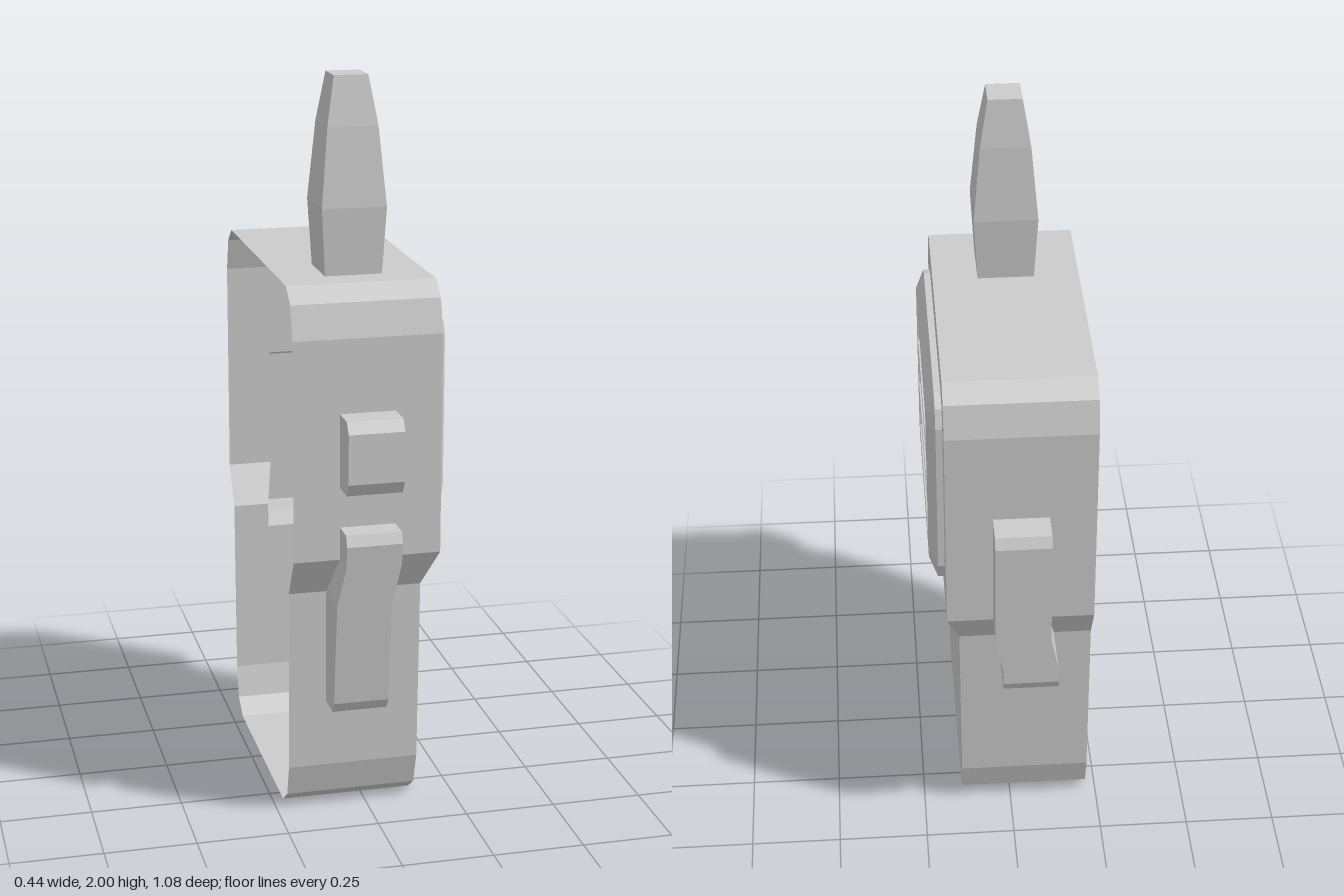
import * as THREE from 'three';

const material = new THREE.MeshStandardMaterial({ color: 0xcccccc, side: THREE.DoubleSide, flatShading: true });
const OPEN_X = -0.22; // open side of the half shell

// Half depth (z) and face position (x) of the shell by height: [y, z, x]
const OUTLINE = [
  [1.48, 0.37, 0.18], [1.44, 0.42, 0.18], [1.35, 0.445, 0.18], [0.75, 0.445, 0.18],
  [0.64, 0.38, 0.144], [0.13, 0.37, 0.141], [0.04, 0.345, 0.14], [0, 0.29, 0.14],
];
function lerpAt(y, column) {
  for (let i = 0; i < OUTLINE.length - 1; i++) {
    const a = OUTLINE[i], b = OUTLINE[i + 1];
    if (y <= a[0] && y >= b[0]) return a[column] + (b[column] - a[column]) * (y - a[0]) / (b[0] - a[0]);
  }
  return OUTLINE[0][column];
}
const wallZ = (y) => lerpAt(y, 1);
const faceX = (y) => lerpAt(y, 2);
// Side range of clips and buttons, shifting where the shell narrows
const partX = (y) => {
  const shift = 0.022 * THREE.MathUtils.clamp((0.75 - y) / 0.11, 0, 1);
  return [-0.095 - shift, 0.055 - shift];
};

// Collects flat quads into one mesh
function quadBuilder() {
  const positions = [];
  return {
    quad(a, b, c, d) { positions.push(...a, ...b, ...c, ...a, ...c, ...d); },
    loft(rings) {
      for (let i = 0; i < rings.length - 1; i++) {
        const r = rings[i], s = rings[i + 1], n = r.length;
        for (let j = 0; j < n; j++) this.quad(r[j], r[(j + 1) % n], s[(j + 1) % n], s[j]);
      }
    },
    mesh(name) {
      const g = new THREE.BufferGeometry();
      g.setAttribute('position', new THREE.Float32BufferAttribute(positions, 3));
      g.computeVertexNormals();
      const m = new THREE.Mesh(g, material);
      m.name = name;
      return m;
    },
  };
}

// Flat sheet facing +x from [z, y] outlines
function sheet(name, outline, holes, x) {
  const toPoints = (pts) => pts.map(([z, y]) => new THREE.Vector2(-z, y));
  const shape = new THREE.Shape(toPoints(outline));
  holes.forEach((h) => shape.holes.push(new THREE.Path(toPoints(h))));
  const g = new THREE.ShapeGeometry(shape);
  g.rotateY(Math.PI / 2);
  g.translate(x, 0, 0);
  const m = new THREE.Mesh(g, material);
  m.name = name;
  return m;
}

// Rectangle with two-step rounded corners, as [z, y]
function softRect(halfZ, y0, y1, cut) {
  const corner = [[0, cut], [cut * 0.28, cut * 0.28], [cut, 0]];
  const place = (sz, top, list) => list.map(([a, b]) => [sz * (halfZ - a), top ? y1 - b : y0 + b]);
  const back = [...corner].reverse();
  return [...place(1, true, corner), ...place(-1, true, back),
    ...place(-1, false, corner), ...place(1, false, back)];
}
const rect = (z0, z1, y0, y1) => [[z0, y0], [z1, y0], [z1, y1], [z0, y1]];
const at = (pts, x) => pts.map(([z, y]) => [x, y, z]);

// Front or back wall with openings behind the raised parts
function wall(name, sign, extraRows, openings) {
  const b = quadBuilder();
  const rows = [...OUTLINE.map((p) => p[0]), ...extraRows].sort((p, q) => q - p);
  for (let i = 0; i < rows.length - 1; i++) {
    const y0 = rows[i], y1 = rows[i + 1], mid = (y0 + y1) / 2;
    const strip = (l0, r0, l1, r1) => b.quad(
      [l0, y0, sign * wallZ(y0)], [r0, y0, sign * wallZ(y0)],
      [r1, y1, sign * wallZ(y1)], [l1, y1, sign * wallZ(y1)]);
    if (openings.some(([lo, hi]) => mid > lo && mid < hi)) {
      const p = partX(y0), q = partX(y1);
      strip(OPEN_X, p[0], OPEN_X, q[0]);
      strip(p[1], faceX(y0), q[1], faceX(y1));
    } else strip(OPEN_X, faceX(y0), OPEN_X, faceX(y1));
  }
  return b.mesh(name);
}

// Hollow raised part on the front or back wall; rows are [y, outer z]
function raisedPart(name, sign, rows) {
  const b = quadBuilder();
  const section = ([y, z]) => {
    const [l, r] = partX(y), w = sign * wallZ(y), o = sign * z;
    return [[l, y, w], [l, y, o], [r, y, o], [r, y, w]];
  };
  const s = rows.map(section);
  for (let i = 0; i < s.length - 1; i++) {
    for (let j = 0; j < 3; j++) b.quad(s[i][j], s[i][j + 1], s[i + 1][j + 1], s[i + 1][j]);
  }
  b.quad(...s[0]);
  b.quad(...s[s.length - 1]);
  return b.mesh(name);
}

export function createModel() {
  const model = new THREE.Group();
  model.name = 'handheldRadio';

  // Shell walls
  model.add(wall('frontWall', 1, [1.15, 0.95, 0.84, 0.32], [[0.95, 1.15], [0.32, 0.84]]));
  model.add(wall('backWall', -1, [1.09, 0.57], [[0.57, 1.09]]));

  // Top with antenna opening, and bottom
  const ends = quadBuilder();
  const flat = (x0, x1, y, z0, z1) => ends.quad([x0, y, z0], [x0, y, z1], [x1, y, z1], [x1, y, z0]);
  flat(OPEN_X, 0.18, 1.48, -0.37, 0.127);
  flat(OPEN_X, -0.097, 1.48, 0.127, 0.283);
  flat(0.057, 0.18, 1.48, 0.127, 0.283);
  flat(OPEN_X, 0.18, 1.48, 0.283, 0.37);
  flat(OPEN_X, 0.14, 0, -0.29, 0.29);
  model.add(ends.mesh('topAndBottom'));

  // Side face: upper plate around the speaker, then the step and lower plate
  const panelOuter = softRect(0.367, 0.81, 1.40, 0.07);
  const upper = OUTLINE.slice(0, 4);
  const upperOutline = [...upper.map(([y, z]) => [z, y]), ...upper.map(([y, z]) => [-z, y]).reverse()];
  model.add(sheet('upperSide', upperOutline, [panelOuter], 0.18));
  const lower = quadBuilder();
  for (let i = 3; i < OUTLINE.length - 1; i++) {
    const [y0, z0, x0] = OUTLINE[i], [y1, z1, x1] = OUTLINE[i + 1];
    lower.quad([x0, y0, z0], [x1, y1, z1], [x1, y1, -z1], [x0, y0, -z0]);
  }
  model.add(lower.mesh('lowerSide'));

  // Speaker panel with three recessed slots
  const speaker = new THREE.Group();
  speaker.name = 'speaker';
  const panelInner = softRect(0.325, 0.858, 1.357, 0.045);
  const slots = [0.905, 1.053, 1.2].map((y) => rect(-0.26, 0.265, y, y + 0.114));
  const rim = quadBuilder();
  rim.loft([at(panelOuter, 0.18), at(panelOuter, 0.198), at(panelInner, 0.22)]);
  speaker.add(rim.mesh('speakerRim'), sheet('speakerFace', panelInner, slots, 0.22));
  const recess = quadBuilder();
  slots.forEach((s) => {
    recess.loft([at(s, 0.22), at(s, 0.197)]);
    recess.quad(...at(s, 0.197));
  });
  speaker.add(recess.mesh('speakerSlots'));
  model.add(speaker);

  // Talk button and clips
  model.add(raisedPart('button', 1, [[1.15, 0.52], [1.12, 0.54], [0.985, 0.54], [0.95, 0.52]]));
  model.add(raisedPart('frontClip', 1,
    [[0.84, 0.512], [0.81, 0.525], [0.75, 0.518], [0.64, 0.505], [0.35, 0.47], [0.32, 0.452]]));
  model.add(raisedPart('backClip', -1,
    [[1.09, 0.525], [1.06, 0.54], [0.75, 0.54], [0.64, 0.54], [0.6, 0.54], [0.57, 0.525]]));

  // Antenna
  const antenna = quadBuilder();
  const rings = [[1.48, 0.077], [1.66, 0.087], [1.87, 0.068], [2, 0.046]].map(([y, h]) =>
    [[-1, -1], [1, -1], [1, 1], [-1, 1]].map(([sx, sz]) => [-0.02 + sx * h, y, 0.207 + sz * h]));
  antenna.loft(rings);
  antenna.quad(...rings[3]);
  model.add(antenna.mesh('antenna'));

  return model;
}
